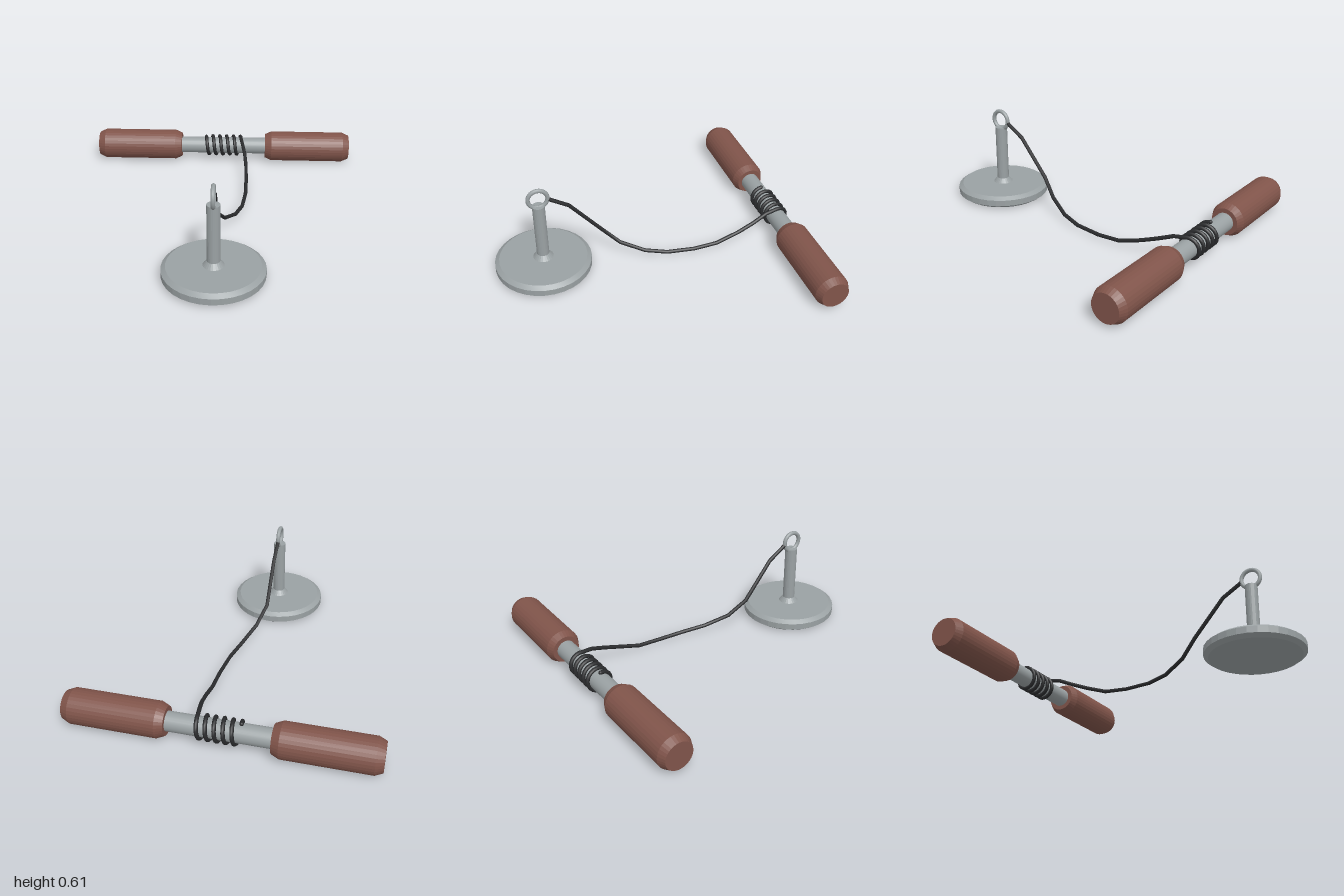
import * as THREE from 'three';
import { toCreasedNormals } from 'three/addons/utils/BufferGeometryUtils.js';

const V = (x, y, z) => new THREE.Vector3(x, y, z);

// Curve that runs straight from point to point, with one tube ring per point
class Polyline extends THREE.Curve {
  constructor(points) { super(); this.points = points; }
  getPoint(t) {
    const n = this.points.length - 1;
    const f = Math.min(Math.max(t, 0), 1) * n;
    const i = Math.min(Math.floor(f + 1e-9), n - 1);
    return this.points[i].clone().lerp(this.points[i + 1], f - i);
  }
  getPointAt(t) { return this.getPoint(t); }
  getTangentAt(t) { return this.getTangent(t); }
}

// Turned part: [radius, height] profile from bottom to top, crisp edges
const turned = (profile, sides = 32) => toCreasedNormals(
  new THREE.LatheGeometry(profile.map(([r, y]) => new THREE.Vector2(r, y)), sides), 0.15);

export function createModel() {
  const group = new THREE.Group();
  const steel = new THREE.MeshStandardMaterial({ name: 'steel grey', color: 0x9aa1a3 });
  const brown = new THREE.MeshStandardMaterial({ name: 'grip brown', color: 0x80544a });
  const black = new THREE.MeshStandardMaterial({ name: 'rope black', color: 0x2a2b2d });
  const add = (name, geometry, material, x, y, z) => {
    const mesh = new THREE.Mesh(geometry, material);
    mesh.name = name;
    mesh.position.set(x, y, z);
    group.add(mesh);
    return mesh;
  };

  const standZ = 0.69, barY = 0.11, barZ = -0.89;

  // Weighted stand
  add('base', turned([[0, 0], [0.282, 0], [0.31, 0.02], [0.31, 0.06], [0.282, 0.08], [0, 0.08]]),
    steel, 0, 0, standZ);
  add('post', turned([[0, 0.07], [0.065, 0.07], [0.065, 0.08], [0.04, 0.11], [0.04, 0.48], [0, 0.48]], 24),
    steel, 0, 0, standZ);
  add('eyeRing', new THREE.TorusGeometry(0.0615, 0.0135, 10, 28), steel, 0, 0.53, standZ)
    .rotation.y = Math.PI / 2;

  // Winding bar with a grip at each end
  add('bar', new THREE.CylinderGeometry(0.06, 0.06, 0.7, 24), steel, 0, barY, barZ)
    .rotation.z = Math.PI / 2;
  const grip = turned([[0, -0.312], [0.088, -0.312], [0.109, -0.265], [0.109, 0.265], [0.088, 0.312], [0, 0.312]]);
  for (const [name, x] of [['leftGrip', 0.625], ['rightGrip', -0.625]]) {
    add(name, grip, brown, x, barY, barZ).rotation.z = Math.PI / 2;
  }

  // Rope: five turns round the bar, then a slack run to the ring
  const points = [];
  const turns = 5.05, coilRadius = 0.069, steps = 100;
  for (let i = 0; i <= steps; i++) {
    const t = (i / steps) * turns, a = t * Math.PI * 2;
    points.push(V(-0.13 + t * 0.052, barY + coilRadius * Math.cos(a), barZ + coilRadius * Math.sin(a)));
  }
  points.push(
    V(0.143, 0.167, -0.8), V(0.163, 0.127, -0.7), V(0.174, 0.085, -0.59), V(0.177, 0.035, -0.44),
    V(0.175, 0.025, -0.28), V(0.155, 0.028, -0.1), V(0.113, 0.045, 0.04), V(0.048, 0.102, 0.19),
    V(0, 0.203, 0.3), V(0, 0.44, 0.5), V(0, 0.52, 0.63));
  const ropeRadius = 0.0125;
  add('rope', new THREE.TubeGeometry(new Polyline(points), points.length - 1, ropeRadius, 8), black, 0, 0, 0);
  for (const p of [points[0], points[points.length - 1]]) {
    add('ropeEnd', new THREE.SphereGeometry(ropeRadius, 10, 8), black, p.x, p.y, p.z);
  }

  return group;
}
